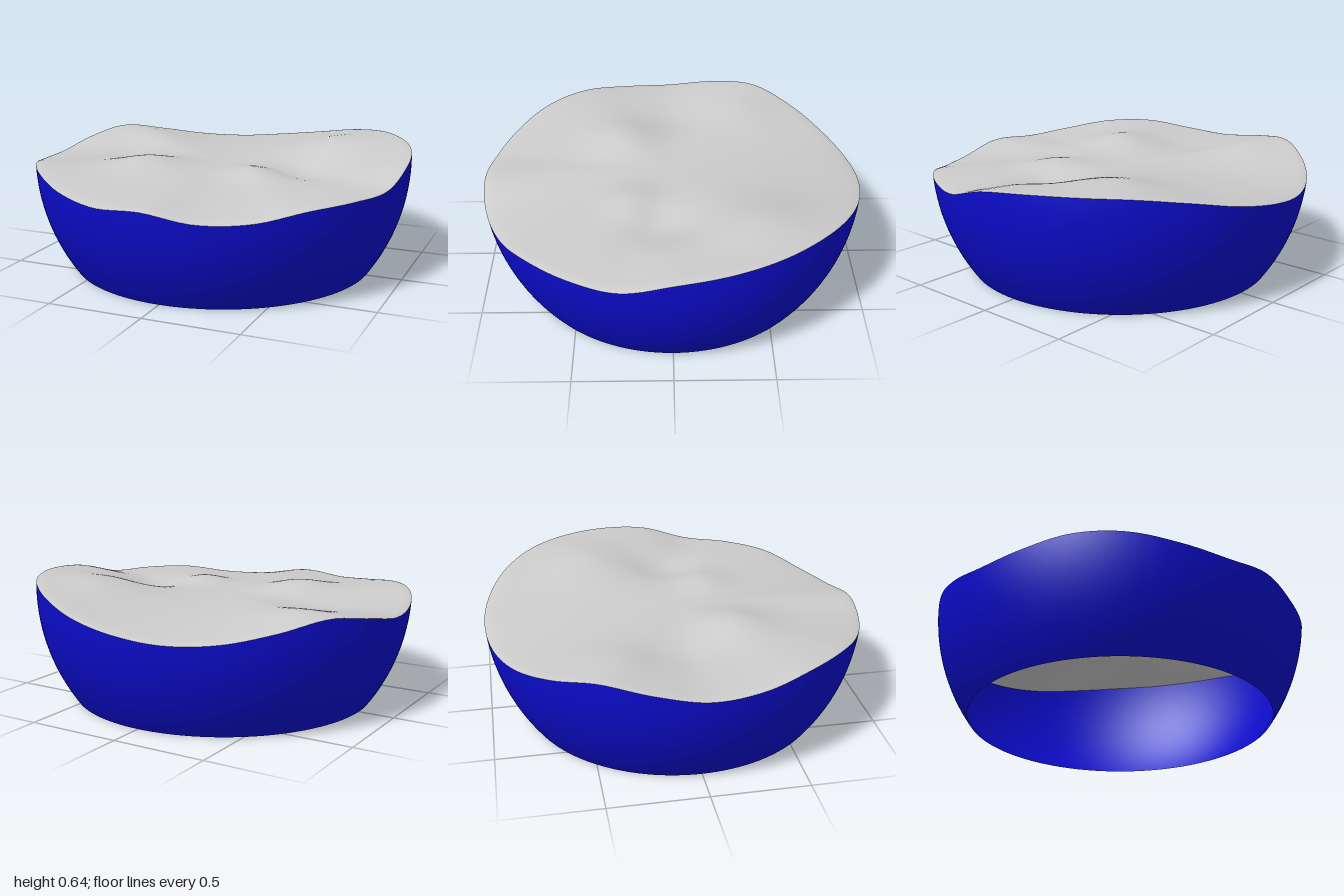
import * as THREE from 'three';

const SEGMENTS = 128;

// Rim heights every 15 degrees, from +x towards +z
const RIM = [
  0.60, 0.53, 0.525, 0.515, 0.475, 0.472, 0.512, 0.497, 0.52, 0.555, 0.56, 0.53,
  0.52, 0.56, 0.592, 0.545, 0.50, 0.487, 0.51, 0.55, 0.60, 0.632, 0.637, 0.628,
];

// Mounds and hollows of the surface: x, z, height, spread
const BUMPS = [
  [-0.33, 0.28, 0.055, 0.2],
  [0.27, 0.22, 0.035, 0.15],
  [0.6, -0.45, 0.085, 0.28],
  [-0.65, -0.45, 0.04, 0.2],
  [0.5, 0.02, -0.055, 0.17],
  [-0.6, -0.08, -0.025, 0.2],
];

// Smooth periodic interpolation of the rim heights
function rimHeight(angle) {
  const n = RIM.length;
  const s = (angle / (2 * Math.PI)) * n;
  const k = Math.floor(s), t = s - k;
  const [a, b, c, d] = [-1, 0, 1, 2].map((o) => RIM[(k + o + n) % n]);
  return b + 0.5 * t * (c - a + t * (2 * a - 5 * b + 4 * c - d + t * (3 * (b - c) + d - a)));
}

// The wall follows part of a sphere
const wallRadius = (y) => Math.sqrt(1 - (y - 0.587) ** 2);

// Closed rings of points joined into one smooth skin
function ringSurface(rings, pointAt) {
  const positions = [], indices = [];
  for (let i = 0; i <= rings; i++) {
    for (let j = 0; j < SEGMENTS; j++) {
      positions.push(...pointAt(i / rings, (j / SEGMENTS) * 2 * Math.PI));
      if (i === rings) continue;
      const a = i * SEGMENTS + j;
      const b = i * SEGMENTS + (j + 1) % SEGMENTS;
      if (i > 0) indices.push(a, b, a + SEGMENTS);
      indices.push(b, b + SEGMENTS, a + SEGMENTS);
    }
  }
  return { positions, indices };
}

function makeMesh(name, color, { positions, indices }) {
  const geometry = new THREE.BufferGeometry();
  geometry.setAttribute('position', new THREE.Float32BufferAttribute(positions, 3));
  geometry.setIndex(indices);
  geometry.computeVertexNormals();
  const material = new THREE.MeshStandardMaterial({ color, side: THREE.DoubleSide });
  const mesh = new THREE.Mesh(geometry, material);
  mesh.name = name;
  return mesh;
}

export function createModel() {
  const group = new THREE.Group();
  group.name = 'wavyBasin';

  // Rolling surface, rounded over slightly at the rim
  const top = ringSurface(48, (t, angle) => {
    const r = Math.sin(t * Math.PI / 2);
    const rim = rimHeight(angle);
    const radius = r * wallRadius(rim);
    const x = radius * Math.cos(angle), z = radius * Math.sin(angle);
    let relief = 0;
    for (const [bx, bz, h, s] of BUMPS) {
      relief += h * Math.exp(-((x - bx) ** 2 + (z - bz) ** 2) / (s * s));
    }
    const y = 0.54 + (rim - 0.54) * r * r + relief * (1 - r * r) + 0.008 * (1 - r ** 40);
    return [x, y, z];
  });
  group.add(makeMesh('topSurface', 0xcccccc, top));

  // Curved side wall from the wavy rim down to the open base
  const wall = ringSurface(24, (t, angle) => {
    const y = rimHeight(angle) * (1 - t);
    const r = wallRadius(y);
    return [r * Math.cos(angle), y, r * Math.sin(angle)];
  });
  // The wall has no centre point, so its first ring needs both triangles
  for (let j = 0; j < SEGMENTS; j++) {
    wall.indices.push(j, (j + 1) % SEGMENTS, j + SEGMENTS);
  }
  group.add(makeMesh('sideWall', 0x0c0ccc, wall));

  return group;
}
